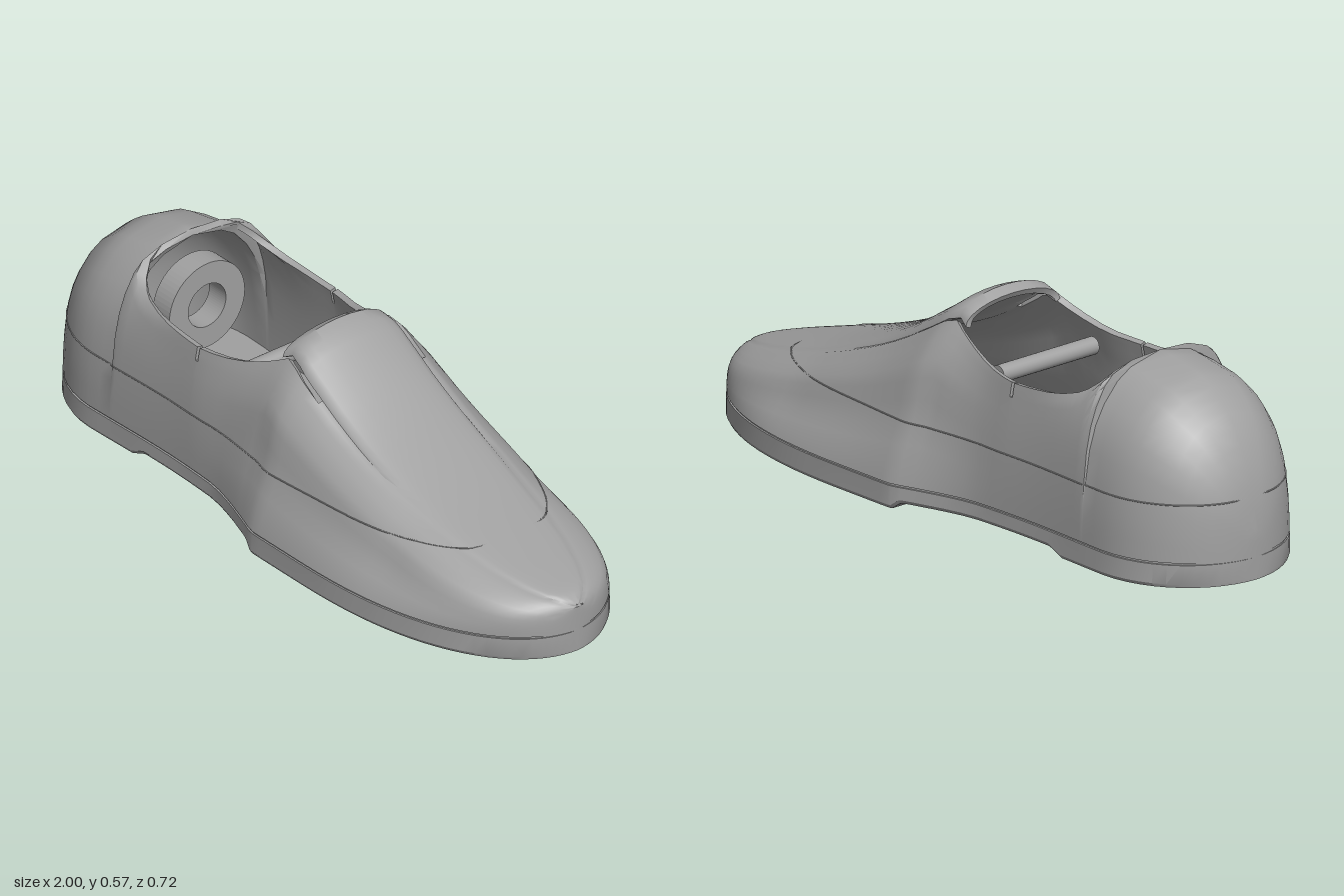
import * as THREE from 'three';
import { mergeVertices, toCreasedNormals } from 'three/addons/utils/BufferGeometryUtils.js';

const lerp = THREE.MathUtils.lerp;

// Smooth monotone curve through [x, value] points
function curve(pts) {
  const n = pts.length;
  const slope = i => (pts[i + 1][1] - pts[i][1]) / (pts[i + 1][0] - pts[i][0]);
  const tangent = i => {
    if (i === 0) return slope(0);
    if (i === n - 1) return slope(n - 2);
    const a = slope(i - 1), b = slope(i);
    return a * b <= 0 ? 0 : (2 * a * b) / (a + b);
  };
  return x => {
    if (x <= pts[0][0]) return pts[0][1];
    if (x >= pts[n - 1][0]) return pts[n - 1][1];
    let i = 0;
    while (x > pts[i + 1][0]) i++;
    const h = pts[i + 1][0] - pts[i][0], t = (x - pts[i][0]) / h, u = 1 - t;
    return pts[i][1] * (1 + 2 * t) * u * u + pts[i + 1][1] * t * t * (3 - 2 * t)
      + h * (tangent(i) * t * u * u - tangent(i + 1) * t * t * u);
  };
}

// Plan outline: half width at the sole
const waist = curve([[-0.7, 0.285], [-0.4, 0.277], [-0.2, 0.284], [-0.1, 0.305], [0, 0.337], [0.08, 0.36], [0.25, 0.36]]);
function halfWidth(x) {
  if (x > 0.25) return 0.36 * Math.sqrt(Math.max(0, 1 - ((x - 0.25) / 0.75) ** 2.4));
  if (x < -0.7) return 0.285 * Math.sqrt(Math.max(0, 1 - ((-0.7 - x) / 0.3) ** 2));
  return waist(x);
}

// Side profile of the ridge, and the collar line
const BASE = 0.07, BACK = -0.62, TONGUE = -0.03, SLIT_END = 0.14;
const ridge = curve([[-1, 0.12], [-0.985, 0.24], [-0.95, 0.345], [-0.9, 0.43], [-0.85, 0.475], [-0.78, 0.52], [-0.7, 0.537],
  [BACK, 0.55], [TONGUE, 0.55], [0, 0.566], [0.1, 0.51], [0.2, 0.445], [0.3, 0.39], [0.4, 0.345], [0.5, 0.305], [0.6, 0.27],
  [0.7, 0.24], [0.8, 0.212], [0.9, 0.185], [0.97, 0.163], [1, 0.14]]);
const collarY = curve([[BACK, 0.55], [-0.617, 0.543], [-0.59, 0.5], [-0.55, 0.465], [-0.5, 0.445], [-0.4, 0.43],
  [-0.3, 0.425], [-0.2, 0.432], [-0.1, 0.46], [0, 0.505]]);
const collarZ = curve([[BACK, 0], [-0.617, 0.1], [-0.605, 0.15], [-0.58, 0.185], [-0.53, 0.215], [-0.4, 0.235],
  [-0.3, 0.238], [-0.2, 0.222], [-0.1, 0.2], [0, 0.175]]);

// Wall shapes: how far out the wall stands at each height fraction
const HEIGHTS = [0, 0.12, 0.25, 0.37, 0.53, 0.67, 0.78, 0.89, 0.95, 1];
const HEEL = [1, 0.995, 0.98, 0.955, 0.91, 0.83, 0.72, 0.55, 0.38, 0];
const MIDDLE = [1, 0.97, 0.91, 0.83, 0.7, 0.54, 0.38, 0.2, 0.1, 0];
const FRONT = [1, 0.93, 0.81, 0.69, 0.58, 0.51, 0.42, 0.22, 0.11, 0];
const TOE = [1, 1, 0.99, 0.97, 0.92, 0.82, 0.68, 0.42, 0.22, 0];
const WALLS = [[BACK, HEEL], [-0.4, MIDDLE], [-0.25, MIDDLE], [0, FRONT], [0.55, FRONT], [0.92, TOE]];
function wall(x, j) {
  if (x <= BACK) return HEEL[j];
  for (let k = 1; k < WALLS.length; k++) {
    const [x0, a] = WALLS[k - 1], [x1, b] = WALLS[k];
    if (x <= x1) return lerp(a[j], b[j], (x - x0) / (x1 - x0));
  }
  return TOE[j];
}

// Half section at x: wall rows, then cap rows up to the ridge, as [z, y]
const CAP = 6, LAST = HEIGHTS.length - 1;
function halfSection(x) {
  const w = halfWidth(x) * 0.99, top = ridge(x);
  const ez = x <= BACK ? 0 : x < 0 ? collarZ(x) : 0.52 * w;
  const ey = x <= BACK ? top : x < 0 ? collarY(x) : lerp(BASE, top, lerp(0.88, 0.92, x));
  const rows = HEIGHTS.map((t, j) => [lerp(ez, w, wall(x, j)), lerp(BASE, ey, t)]);
  const cz = Math.max(0, ez - 0.014);
  for (let k = 0; k <= CAP; k++) {
    const a = (k / CAP) * Math.PI / 2;
    rows.push([k === CAP ? 0 : cz * Math.cos(a), lerp(ey, top, Math.sin(a * 0.97 + 0.03 * Math.PI / 2))]);
  }
  return rows;
}

// Stations along the shoe, denser at the rounded ends
const stations = [];
for (let i = 0; i < 14; i++) stations.push(-1 + 0.38 * (1 - Math.cos((i / 14) * Math.PI / 2)));
stations.push(BACK, -0.617, -0.605, -0.58, -0.555, -0.53, -0.48, -0.43, -0.38, -0.34, -0.302, -0.292, -0.25, -0.2,
  -0.15, -0.1, -0.06, TONGUE, 0, 0.04, 0.07, 0.1);
for (let i = 0; i <= 26; i++) stations.push(SLIT_END + (1 - SLIT_END) * Math.sin((i / 26) * Math.PI / 2));

// Skin over rows of [x, y, z] points; skip(i, j) leaves holes
function loft(sections, skip = () => false) {
  const m = sections[0].length, index = [];
  for (let i = 0; i < sections.length - 1; i++) for (let j = 0; j < m - 1; j++) {
    if (skip(i, j)) continue;
    const a = i * m + j, b = a + m;
    index.push(a, b, b + 1, a, b + 1, a + 1);
  }
  let geo = new THREE.BufferGeometry();
  geo.setAttribute('position', new THREE.Float32BufferAttribute(sections.flat(2), 3));
  geo.setIndex(index);
  geo = mergeVertices(geo, 1e-5);
  const old = geo.index.array, clean = [];
  for (let k = 0; k < old.length; k += 3) {
    const [a, b, c] = [old[k], old[k + 1], old[k + 2]];
    if (a !== b && b !== c && a !== c) clean.push(a, b, c);
  }
  geo.setIndex(clean);
  geo.computeVertexNormals();
  return geo;
}

// Give an open skin thickness, with a rim along its open edges
function thicken(geo, depth) {
  const p = geo.attributes.position, nrm = geo.attributes.normal, n = p.count;
  const pos = Array.from(p.array), idx = Array.from(geo.index.array), edges = new Set(), out = idx.slice();
  for (let i = 0; i < n * 3; i++) pos.push(p.array[i] - nrm.array[i] * depth);
  for (let k = 0; k < idx.length; k += 3) {
    out.push(idx[k] + n, idx[k + 2] + n, idx[k + 1] + n);
    for (let e = 0; e < 3; e++) edges.add(idx[k + e] * n + idx[k + (e + 1) % 3]);
  }
  for (const key of edges) {
    const a = Math.floor(key / n), b = key % n;
    if (!edges.has(b * n + a)) out.push(b, a, a + n, b, a + n, b + n);
  }
  const solid = new THREE.BufferGeometry();
  solid.setAttribute('position', new THREE.Float32BufferAttribute(pos, 3));
  solid.setIndex(out);
  return toCreasedNormals(solid, 0.75);
}

function upperGeometry() {
  const sections = stations.map(x => {
    const half = halfSection(x);
    const other = half.slice(0, -1).reverse().map(([z, y]) => [x, y, -z]);
    return [...half.map(([z, y]) => [x, y, z]), ...other];
  });
  const m = sections[0].length;
  const skip = (i, j) => {
    const x = (stations[i] + stations[i + 1]) / 2, row = Math.min(j, m - 2 - j);
    if (row >= LAST) return x > BACK && (x < TONGUE || (row === LAST && x < SLIT_END)); // opening, slits
    return row >= 7 && x > -0.302 && x < -0.292; // collar notches
  };
  return thicken(loft(sections, skip), 0.018);
}

function soleGeometry() {
  const arch = curve([[-0.53, 0], [-0.48, 0.02], [0.03, 0.02], [0.06, 0]]);
  const xs = [...stations, -0.53, 0.03, 0.06].sort((a, b) => a - b);
  const sections = xs.map(x => {
    const w = halfWidth(x), y = arch(x), inner = Math.max(0, w - 0.008);
    const half = [[Math.max(0, w - 0.006), y], [w, y + 0.01], [w * 0.992, 0.064], [inner, 0.064], [inner, BASE + 0.004]];
    const ring = [...half.map(([z, h]) => [x, h, z]), ...half.slice().reverse().map(([z, h]) => [x, h, -z])];
    return [...ring, ring[0]];
  });
  return toCreasedNormals(loft(sections), 0.5);
}

// Fine seam running round the upper at one height
function seamGeometry(height) {
  const side = [];
  for (const x of stations) {
    const rows = halfSection(x);
    const k = rows.findIndex(r => r[1] > height);
    if (k < 1) continue;
    const [z0, y0] = rows[k - 1], [z1, y1] = rows[k];
    side.push(new THREE.Vector3(x, height, lerp(z0, z1, (height - y0) / (y1 - y0))));
  }
  const mirror = side.map(p => new THREE.Vector3(p.x, p.y, -p.z)).reverse();
  const path = new THREE.CatmullRomCurve3([...side, ...mirror], true, 'centripetal');
  return new THREE.TubeGeometry(path, 240, 0.002, 5, true);
}

export function createModel() {
  const shoe = new THREE.Group();
  shoe.name = 'shoe';
  const grey = new THREE.MeshStandardMaterial({ color: 0xa0a0a0 });
  grey.name = 'grey';
  const add = (name, geo) => {
    const mesh = new THREE.Mesh(geo, grey);
    mesh.name = name;
    shoe.add(mesh);
    return mesh;
  };
  add('upper', upperGeometry());
  add('sole', soleGeometry());
  add('seam', seamGeometry(0.23));

  // Cross bar inside the opening
  add('crossBar', new THREE.CylinderGeometry(0.025, 0.025, 0.34, 24).rotateX(Math.PI / 2).translate(-0.16, 0.395, 0));

  // Ring at the inside of the heel
  const disc = new THREE.Shape().absarc(0, 0, 0.13, 0, Math.PI * 2);
  disc.holes.push(new THREE.Path().absarc(0, 0, 0.065, 0, Math.PI * 2, true));
  const ring = new THREE.ExtrudeGeometry(disc, { depth: 0.07, bevelEnabled: false, curveSegments: 32 });
  add('heelRing', ring.rotateY(Math.PI / 2).translate(-0.62, 0.345, 0));
  return shoe;
}
